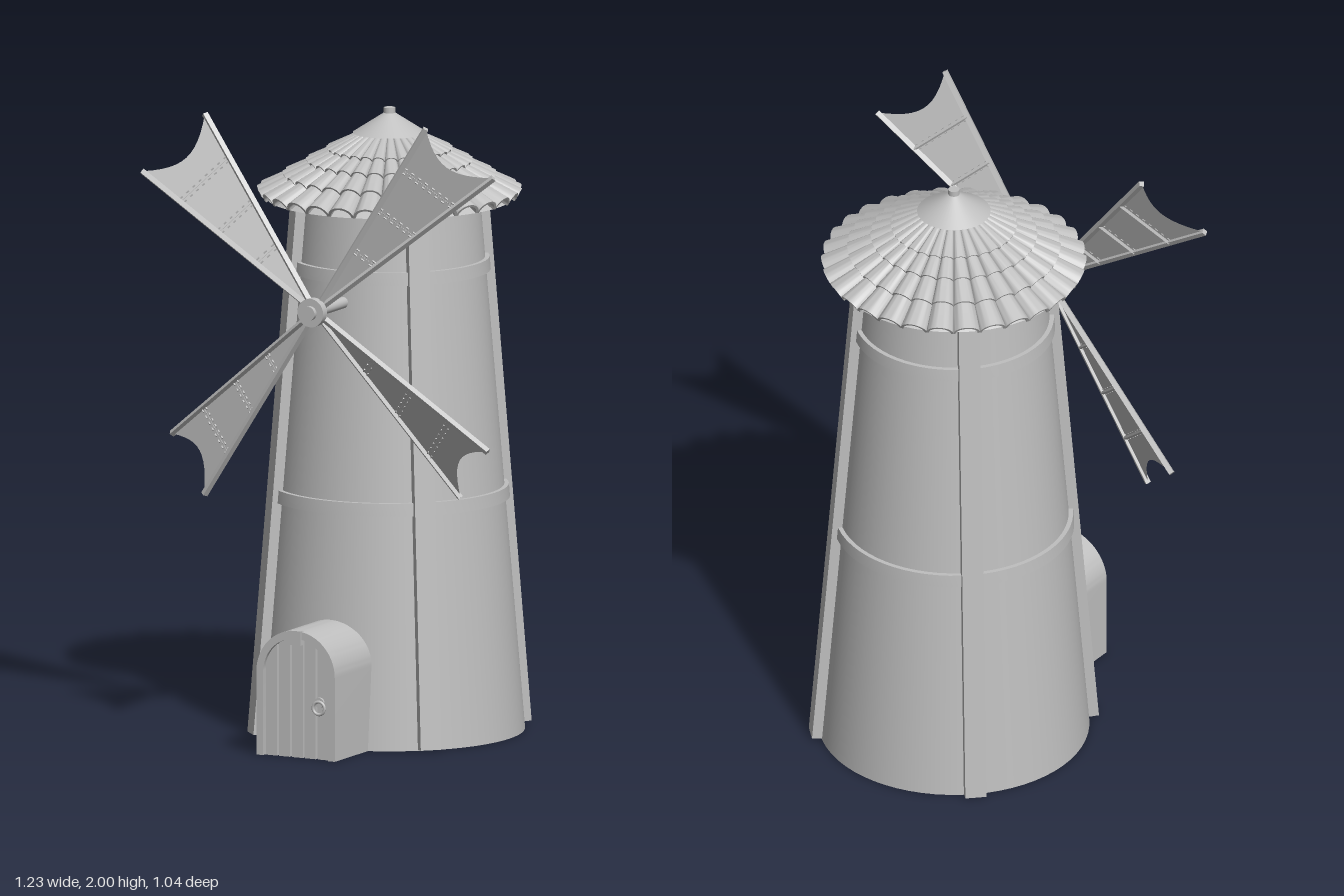
import * as THREE from 'three';
import { mergeGeometries, toCreasedNormals } from 'three/addons/utils/BufferGeometryUtils.js';

const grey = new THREE.MeshStandardMaterial({ color: 0xbfbfbf });
grey.name = 'stone grey';
const sheet = grey;
sheet.side = THREE.DoubleSide;

const V = (x, y, z) => new THREE.Vector3(x, y, z);
const TOWER_Z = -0.1, HEIGHT = 1.68, R0 = 0.42, R1 = 0.28;
const wallR = y => R0 + (R1 - R0) * y / HEIGHT;

function add(parent, name, geometry, x = 0, y = 0, z = 0) {
  const m = new THREE.Mesh(geometry, grey);
  m.name = name;
  m.position.set(x, y, z);
  parent.add(m);
  return m;
}

// square bar between two points
function bar(parent, name, p, q, w, d = w) {
  const m = add(parent, name, new THREE.BoxGeometry(w, d, p.distanceTo(q)));
  m.position.copy(p).lerp(q, 0.5);
  m.quaternion.setFromUnitVectors(V(0, 0, 1), q.clone().sub(p).normalize());
  return m;
}

function group(parent, name, x = 0, y = 0, z = 0) {
  const g = new THREE.Group();
  g.name = name;
  g.position.set(x, y, z);
  parent.add(g);
  return g;
}

function disc(r, depth, sides = 32, r2 = r) {
  return new THREE.CylinderGeometry(r2, r, depth, sides).rotateX(Math.PI / 2);
}

function buildTower(root) {
  const tower = group(root, 'tower', 0, 0, TOWER_Z);
  add(tower, 'wall', new THREE.CylinderGeometry(R1, R0, HEIGHT, 64), 0, HEIGHT / 2);
  // hoops around the wall
  for (const y of [0.75, 1.465]) {
    const b = y - 0.02, t = y + 0.02, o = 0.014;
    const pts = [[wallR(b) - 0.01, b], [wallR(b) + o, b], [wallR(t) + o, t], [wallR(t) - 0.01, t]];
    const g = new THREE.LatheGeometry(pts.map(p => new THREE.Vector2(...p)), 64);
    add(tower, 'hoop', toCreasedNormals(g, 0.5));
  }
  // four leaning posts on the diagonals
  for (let i = 0; i < 4; i++) {
    const side = group(tower, 'post', 0, 0, 0);
    side.rotation.y = Math.PI / 4 + i * Math.PI / 2;
    const post = add(side, 'postBeam', new THREE.BoxGeometry(0.066, HEIGHT, 0.06), 0, HEIGHT / 2, (R0 + R1) / 2);
    post.rotation.x = -Math.atan((R0 - R1) / HEIGHT);
  }
}

function buildRoof(root) {
  const roof = group(root, 'roof', 0, 0, TOWER_Z);
  const slope = 0.696, COLS = 30;
  const lineY = r => 1.66 + (0.39 - r) * slope;
  add(roof, 'roofBase', new THREE.CylinderGeometry(0.1, 0.38, 0.28 * slope, 60, 1, true),
    0, (lineY(0.1) + lineY(0.38)) / 2);
  // rows of tapered barrel tiles, each overlapping the one below
  const ends = [0.09, 0.188, 0.248, 0.317, 0.393];
  for (let row = 0; row < 4; row++) {
    const ra = row ? ends[row] - 0.025 : ends[0], rb = ends[row + 1];
    const a = V(0, lineY(ra), ra), b = V(0, lineY(rb) + 0.012, rb);
    const length = a.distanceTo(b);
    const arch = new THREE.Shape();
    arch.absarc(0, 0, 1, 0, Math.PI, false);
    arch.absarc(0, 0, 0.8, Math.PI, 0, true);
    let tile = new THREE.ExtrudeGeometry(arch, { depth: 1, bevelEnabled: false, curveSegments: 8 });
    const p = tile.attributes.position;
    for (let i = 0; i < p.count; i++) {
      const t = p.getZ(i);
      const w = (ra + (rb - ra) * t) * Math.sin(Math.PI / COLS) * 1.05;
      p.setXYZ(i, p.getX(i) * w, p.getY(i) * w * 0.85, t * length);
    }
    tile = toCreasedNormals(tile, 0.7);
    tile.rotateX(Math.atan2(a.y - b.y, rb - ra)).translate(0, a.y, a.z);
    const tiles = [];
    for (let c = 0; c < COLS; c++) {
      tiles.push(tile.clone().rotateY(Math.PI / 2 + c * 2 * Math.PI / COLS));
    }
    add(roof, 'tileRow', mergeGeometries(tiles));
  }
  add(roof, 'cap', new THREE.CylinderGeometry(0.018, 0.114, 0.062, 48), 0, 1.904);
  add(roof, 'knob', new THREE.CylinderGeometry(0.018, 0.018, 0.03, 12), 0, 1.937);
}

function buildSails(root) {
  const sails = group(root, 'sails', 0, 1.385, 0.385);
  add(sails, 'axle', disc(0.018, 0.25), 0, 0, -0.08);
  add(sails, 'hub', disc(0.045, 0.026), 0, 0, 0.018);
  add(sails, 'hubPin', disc(0.022, 0.05), 0, 0, 0.02);
  const A = V(0.39, 0.608, 0), B = V(0.566, 0.45, -0.115);
  const normal = B.clone().cross(A).normalize();
  const at = (t, v) => A.clone().lerp(B, v).multiplyScalar(t);
  for (let i = 0; i < 4; i++) {
    const sail = group(sails, 'sail');
    sail.rotation.z = i * Math.PI / 2;
    bar(sail, 'leadingSpar', at(0.03, 0), A, 0.016);
    bar(sail, 'trailingSpar', at(0.03, 1), B, 0.016);
    // canvas with a hollow outer edge
    const cloth = new THREE.PlaneGeometry(1, 1, 12, 1);
    const p = cloth.attributes.position;
    for (let k = 0; k < p.count; k++) {
      const v = p.getX(k) + 0.5;
      const t = p.getY(k) > 0 ? 1 - 0.36 * v * (1 - v) : 0.03;
      const q = at(t, v);
      p.setXYZ(k, q.x, q.y, q.z);
    }
    cloth.computeVertexNormals();
    add(sail, 'canvas', cloth);
    // cross battens behind, with stitches in front
    for (const t of [0.34, 0.56, 0.78]) {
      const back = normal.clone().multiplyScalar(-0.005);
      bar(sail, 'batten', at(t, 0).add(back), at(t, 1).add(back), 0.008);
      const count = Math.round(t * 10);
      for (let s = 0; s < count; s++) {
        for (const off of [-0.012, 0.012]) {
          const front = normal.clone().multiplyScalar(0.001);
          bar(sail, 'stitch', at(t + off, (s + 0.3) / count).add(front),
            at(t + off, (s + 0.7) / count).add(front), 0.004);
        }
      }
    }
  }
}

function buildPorch(root) {
  const porch = group(root, 'porch');
  const W = 0.138, IN = 0.114, SPRING = 0.262;
  // hollow arched vestibule
  const s = new THREE.Shape();
  s.moveTo(W, 0);
  s.lineTo(W, SPRING);
  s.absarc(0, SPRING, W, 0, Math.PI, false);
  s.lineTo(-W, 0);
  s.lineTo(-IN, 0);
  s.lineTo(-IN, SPRING);
  s.absarc(0, SPRING, IN, Math.PI, 0, true);
  s.lineTo(IN, 0);
  const shell = new THREE.ExtrudeGeometry(s, { depth: 0.275, bevelEnabled: false, curveSegments: 24 });
  add(porch, 'archShell', toCreasedNormals(shell, 0.5), 0, 0, 0.237);
  add(porch, 'keystone', new THREE.BoxGeometry(0.04, 0.045, 0.02), 0, 0.378, 0.506);
  // door of upright planks cut to the arch
  const top = x => SPRING + Math.sqrt(Math.max(0, IN * IN - x * x));
  const pitch = 2 * IN / 5;
  for (let i = 0; i < 5; i++) {
    const x0 = -IN + i * pitch + 0.004, x1 = x0 + pitch - 0.008;
    const plank = new THREE.Shape();
    plank.moveTo(x0, 0);
    plank.lineTo(x1, 0);
    for (let k = 0; k <= 6; k++) {
      const x = x1 + (x0 - x1) * k / 6;
      plank.lineTo(x, top(x));
    }
    add(porch, 'plank', new THREE.ExtrudeGeometry(plank, { depth: 0.018, bevelEnabled: false }), 0, 0, 0.482);
  }
  const backing = new THREE.Shape();
  backing.moveTo(-IN, 0);
  backing.lineTo(IN, 0);
  backing.lineTo(IN, SPRING);
  backing.absarc(0, SPRING, IN, 0, Math.PI, false);
  add(porch, 'doorBacking', new THREE.ShapeGeometry(backing, 16), 0, 0, 0.487);
  // ring handle
  add(porch, 'handlePlate', disc(0.016, 0.01, 16), 0.08, 0.18, 0.503);
  add(porch, 'handleRing', new THREE.TorusGeometry(0.02, 0.005, 8, 24), 0.08, 0.163, 0.509);
}

export function createModel() {
  const model = new THREE.Group();
  model.name = 'windmill';
  buildTower(model);
  buildRoof(model);
  buildSails(model);
  buildPorch(model);
  return model;
}
